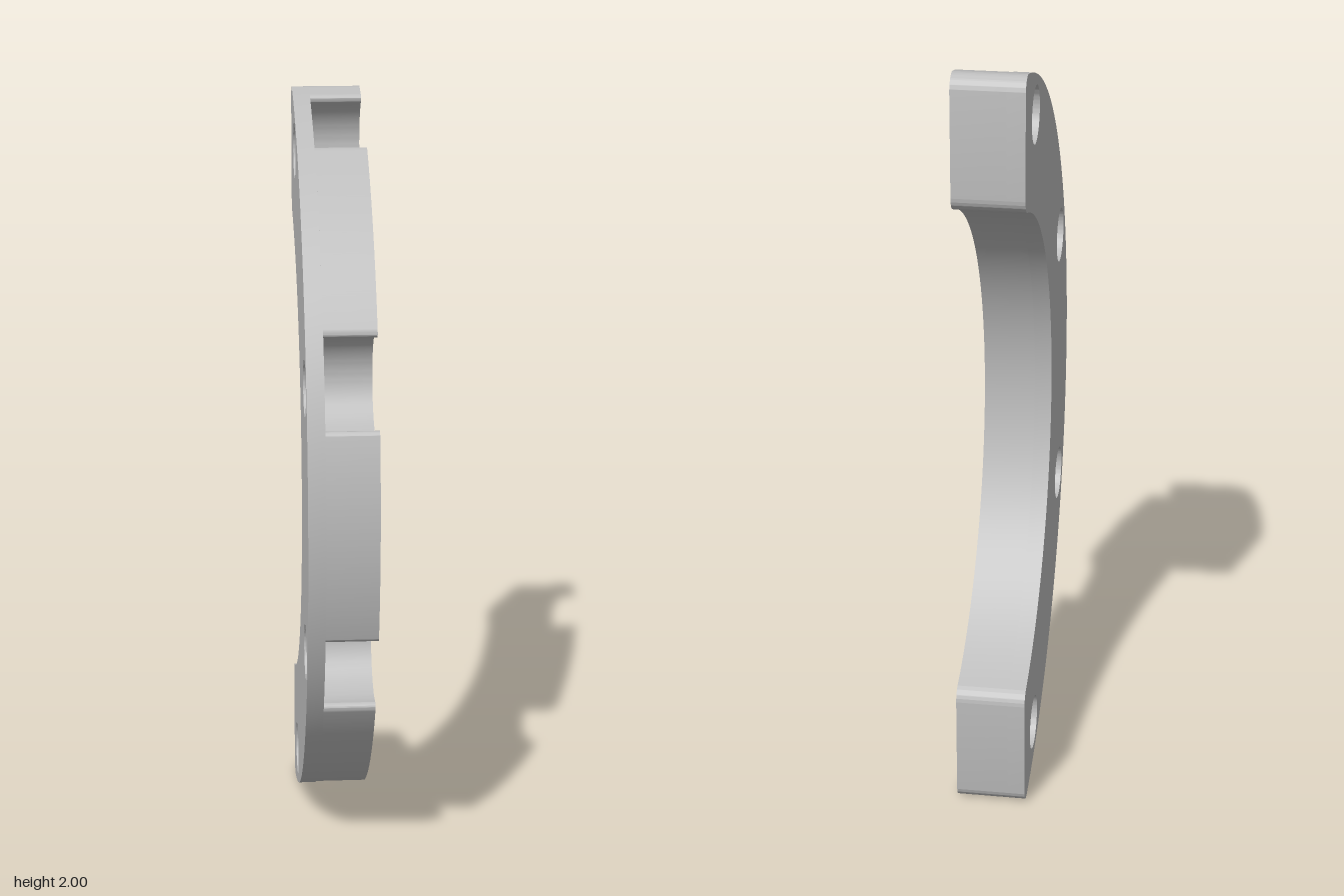
import * as THREE from 'three';
import { toCreasedNormals } from 'three/addons/utils/BufferGeometryUtils.js';

// Half ring, drawn in a plane where local x = -z and local y = y
const CX = 0.6, CY = 1;           // ring centre
const R = 1.025, RI = 0.693;      // outer and inner radius
const END = 0.175, FIL = 0.04;    // end face offset from centre, corner rounding
const HOLE_D = 0.928, HOLE_R = 0.072;
const POCKET_R = 0.137, LIP = 0.012;
const HOLES = [-67.5, -22.5, 22.5, 67.5].map(d => Math.PI + THREE.MathUtils.degToRad(d));

const polar = (r, t) => new THREE.Vector2(CX + r * Math.cos(t), CY + r * Math.sin(t));
const heading = (from, to) => Math.atan2(to.y - from.y, to.x - from.x);

function ringShape(withPockets) {
  const s = new THREE.Shape();
  const arc = (c, r, a, b, cw = false) => s.absarc(c.x, c.y, r, a, b, cw);
  const centre = new THREE.Vector2(CX, CY);
  const fx = END + FIL;
  const outY = Math.sqrt((R - FIL) ** 2 - fx ** 2);
  const inY = Math.sqrt((RI + FIL) ** 2 - fx ** 2);
  const outA = Math.atan2(outY, -fx), inA = Math.atan2(inY, -fx);
  const corner = y => new THREE.Vector2(CX - fx, CY + y);

  // rounded top outer corner, then the outer rim
  arc(corner(outY), FIL, 0, outA);
  let t = outA;
  if (withPockets) {
    const d = HOLE_D, a = R - LIP, b = POCKET_R + LIP;
    const phi = Math.acos((d * d + a * a - b * b) / (2 * d * a));
    for (const h of HOLES) {
      // pocket breaking through the rim, with rounded lips
      const c = polar(d, h), f1 = polar(a, h - phi), f2 = polar(a, h + phi);
      arc(centre, R, t, h - phi);
      arc(f1, LIP, h - phi, heading(f1, c));
      arc(c, POCKET_R, heading(c, f1), heading(c, f2), true);
      arc(f2, LIP, heading(f2, c), h + phi);
      t = h + phi;
    }
  }
  arc(centre, R, t, 2 * Math.PI - outA);
  // bottom corners, inner rim, top inner corner
  arc(corner(-outY), FIL, 2 * Math.PI - outA, 2 * Math.PI);
  arc(corner(-inY), FIL, 0, Math.PI - inA);
  arc(centre, RI, 2 * Math.PI - inA, inA, true);
  arc(corner(inY), FIL, inA - Math.PI, 0);
  s.closePath();
  return s;
}

function plate(name, shape, x0, x1, material) {
  const geo = new THREE.ExtrudeGeometry(shape, { depth: x1 - x0, bevelEnabled: false, curveSegments: 40 });
  geo.translate(0, 0, x0).rotateY(Math.PI / 2);
  const mesh = new THREE.Mesh(toCreasedNormals(geo, 0.5), material);
  mesh.name = name;
  return mesh;
}

export function createModel() {
  const group = new THREE.Group();
  group.name = 'halfRingBracket';
  const grey = new THREE.MeshStandardMaterial({ color: 0xbdbdbd });
  grey.name = 'grey metal';

  // thin base with the bolt holes
  const base = ringShape(false);
  for (const h of HOLES) {
    const c = polar(HOLE_D, h);
    base.holes.push(new THREE.Path().absarc(c.x, c.y, HOLE_R, 0, 2 * Math.PI, true));
  }
  group.add(plate('drilledBase', base, -0.09, -0.045, grey));

  // thicker layer with the open bolt-head pockets
  group.add(plate('pocketedLayer', ringShape(true), -0.045, 0.09, grey));
  return group;
}
